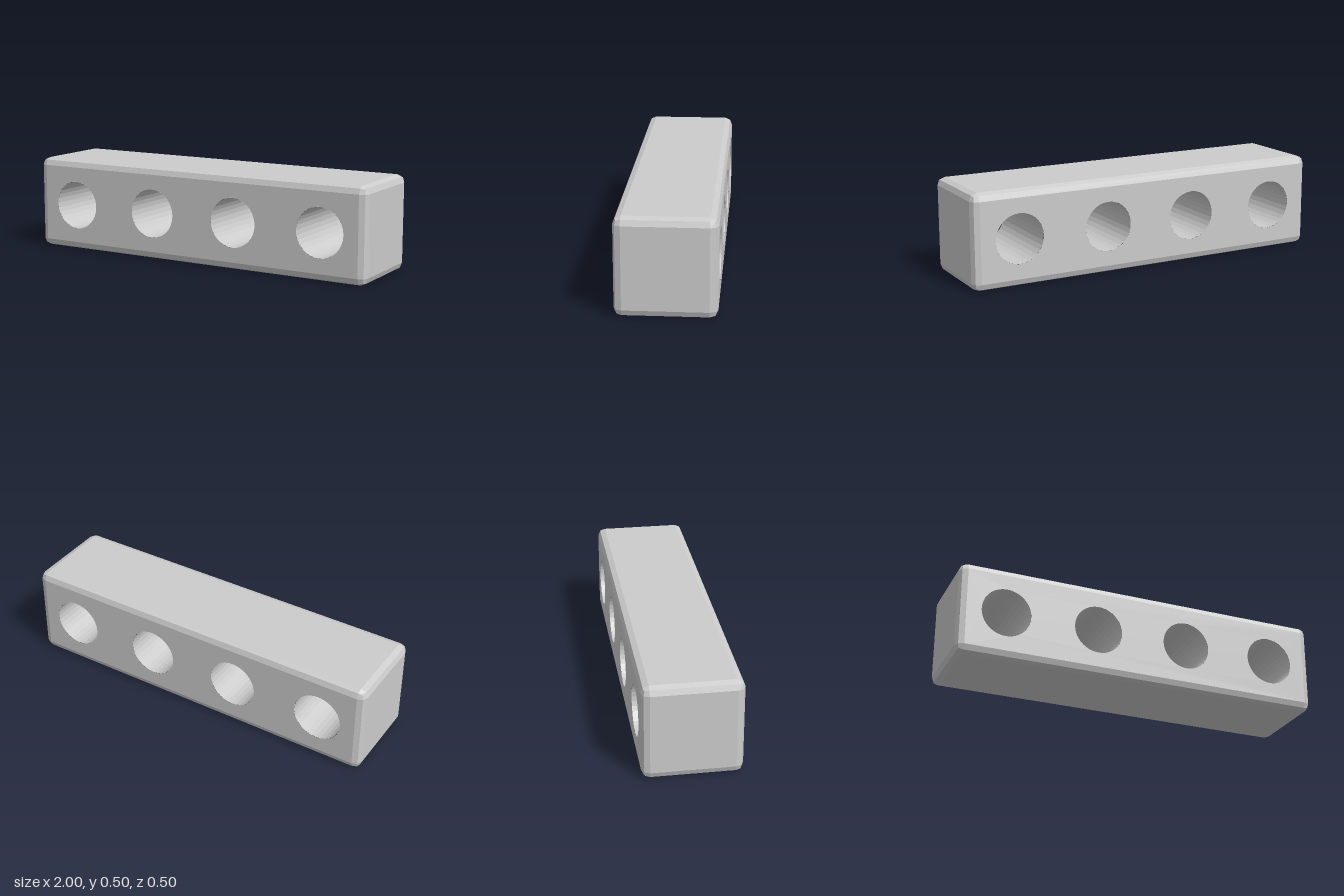
import * as THREE from 'three';
import { RoundedBoxGeometry } from 'three/addons/geometries/RoundedBoxGeometry.js';

const LENGTH = 2, SIZE = 0.5, BEVEL = 0.04;
const HOLE_RADIUS = 0.131, HOLE_SIDES = 32;
const HOLE_X = [-0.75, -0.25, 0.25, 0.75];

// Bevelled box without its flat front and back panels
function shellGeometry() {
  const box = new RoundedBoxGeometry(LENGTH, SIZE, SIZE, 1, BEVEL);
  const p = box.toNonIndexed === undefined || !box.index ? box.attributes.position : box.toNonIndexed().attributes.position;
  const kept = [];
  const onPanel = (i) => Math.abs(p.getZ(i)) > SIZE / 2 - 1e-4;
  for (let i = 0; i < p.count; i += 3) {
    if (onPanel(i) && onPanel(i + 1) && onPanel(i + 2)) continue;
    for (let j = i; j < i + 3; j++) kept.push(p.getX(j), p.getY(j), p.getZ(j));
  }
  const geometry = new THREE.BufferGeometry();
  geometry.setAttribute('position', new THREE.Float32BufferAttribute(kept, 3));
  geometry.computeVertexNormals();
  return geometry;
}

// Flat panel pierced by the row of round holes
function panelGeometry() {
  const x = LENGTH / 2 - BEVEL, y = SIZE / 2 - BEVEL;
  const shape = new THREE.Shape([[-x, -y], [x, -y], [x, y], [-x, y]].map(([a, b]) => new THREE.Vector2(a, b)));
  for (const hx of HOLE_X) {
    shape.holes.push(new THREE.Path().absarc(hx, 0, HOLE_RADIUS, 0, Math.PI * 2, true));
  }
  return new THREE.ShapeGeometry(shape, HOLE_SIDES).translate(0, 0, SIZE / 2);
}

export function createModel() {
  const model = new THREE.Group();
  model.name = 'drilledBlock';
  const grey = new THREE.MeshStandardMaterial({ color: 0xcccccc, flatShading: true });
  const boreGrey = new THREE.MeshStandardMaterial({ color: 0xcccccc, flatShading: true, side: THREE.DoubleSide });

  const add = (name, geometry, material = grey) => {
    const mesh = new THREE.Mesh(geometry, material);
    mesh.name = name;
    mesh.position.y = SIZE / 2;
    model.add(mesh);
    return mesh;
  };

  add('bevelledBody', shellGeometry());
  add('frontPanel', panelGeometry());
  add('backPanel', panelGeometry().rotateY(Math.PI));

  // Through bores running front to back
  const bore = new THREE.CylinderGeometry(HOLE_RADIUS, HOLE_RADIUS, SIZE, HOLE_SIDES, 1, true).rotateX(Math.PI / 2);
  HOLE_X.forEach((x, i) => {
    add(`bore${i + 1}`, bore, boreGrey).position.x = x;
  });

  return model;
}
